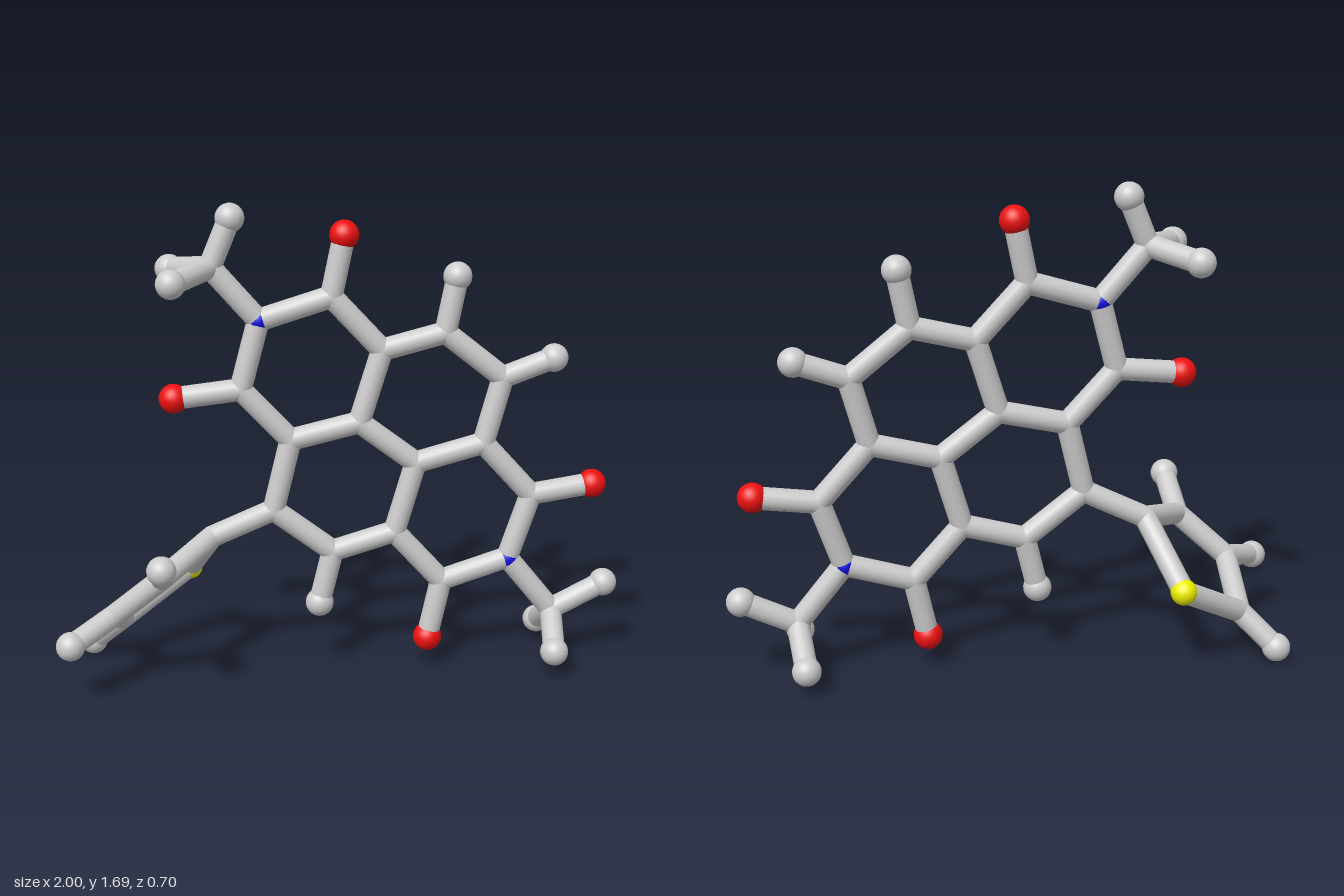
import * as THREE from 'three';

const BOND_R = 0.039;
const materials = {
  grey: new THREE.MeshStandardMaterial({ color: 0xcccccc }),
  red: new THREE.MeshStandardMaterial({ color: 0xee1111 }),
  blue: new THREE.MeshStandardMaterial({ color: 0x1111dd }),
  yellow: new THREE.MeshStandardMaterial({ color: 0xeeee00 }),
};

// Element: name, radius, material
const elements = {
  C: ['carbonJoint', BOND_R, 'grey'],
  H: ['hydrogenBall', 0.05, 'grey'],
  O: ['oxygenBall', 0.051, 'red'],
  N: ['nitrogenJoint', 0.0415, 'blue'],
  S: ['sulfurBall', 0.046, 'yellow'],
};

// The fused rings lie in one slightly tilted plane
const planeZ = (x, y) => -0.043 - 0.028 * x - 0.043 * y;

// Atoms: x, y and, where off the ring plane, z. The first letter is the element.
const atoms = {
  // Fused carbon rings
  Ca: [0.14, 1.175], Cb: [0.36, 1.23], Cc: [0.565, 1.065], Cd: [0.5, 0.83],
  Ce: [0.26, 0.767], Cf: [0.06, 0.92], Cg: [-0.18, 0.865], Ch: [-0.243, 0.612],
  Ci: [-0.035, 0.452], Cj: [0.185, 0.515],
  Hb: [0.4, 1.425], Hc: [0.745, 1.13], Hi: [-0.083, 0.26],
  // Upper imide ring and methyl
  N1: [-0.285, 1.29], Cm: [-0.035, 1.365], Om: [0.01, 1.575],
  Cn: [-0.35, 1.05], On: [-0.58, 1.025], Cq: [-0.445, 1.475],
  Hq1: [-0.375, 1.64], Hq2: [-0.575, 1.455, 0.07], Hq3: [-0.585, 1.44, -0.25],
  // Lower imide ring and methyl
  N2: [0.595, 0.4], Ck: [0.355, 0.325], Ok: [0.307, 0.11],
  Cl: [0.675, 0.635], Ol: [0.895, 0.667], Cr: [0.76, 0.195],
  Hr1: [0.95, 0.29], Hr2: [0.742, 0.085, -0.235], Hr3: [0.745, 0.1, 0.09],
  // Five-sided side ring
  Ct: [-0.46, 0.51, -0.085], Cu: [-0.635, 0.44, 0.125], Cv: [-0.808, 0.285, 0.07],
  Cw: [-0.787, 0.17, -0.18], S1: [-0.545, 0.31, -0.305],
  Hu: [-0.63, 0.54, 0.297], Hv: [-0.95, 0.232, 0.195], Hw: [-0.905, 0.052, -0.248],
};

// Chains of bonded atoms
const chains = {
  ringBond: ['Ca Cb Cc Cd Ce Cf Ca', 'Cf Cg Ch Ci Cj Ce'],
  imideBond: ['Ca Cm N1 Cn Cg', 'Cd Cl N2 Ck Cj'],
  oxygenBond: ['Cm Om', 'Cn On', 'Ck Ok', 'Cl Ol'],
  hydrogenBond: ['Cb Hb', 'Cc Hc', 'Ci Hi', 'Cu Hu', 'Cv Hv', 'Cw Hw'],
  methylBond: ['N1 Cq Hq1', 'Hq2 Cq Hq3', 'N2 Cr Hr1', 'Hr2 Cr Hr3'],
  sideRingBond: ['Ch Ct Cu Cv Cw S1 Ct'],
};

const position = (id) => {
  const [x, y, z = planeZ(x, y)] = atoms[id];
  return new THREE.Vector3(x, y, z);
};

function makeBond(name, from, to) {
  const direction = to.clone().sub(from);
  const geometry = new THREE.CylinderGeometry(BOND_R, BOND_R, direction.length(), 20);
  const bond = new THREE.Mesh(geometry, materials.grey);
  bond.name = name;
  bond.position.copy(from).add(to).multiplyScalar(0.5);
  bond.quaternion.setFromUnitVectors(new THREE.Vector3(0, 1, 0), direction.normalize());
  return bond;
}

export function createModel() {
  const model = new THREE.Group();
  model.name = 'moleculeModel';

  // Balls and joints
  for (const id of Object.keys(atoms)) {
    const [name, radius, color] = elements[id[0]];
    const atom = new THREE.Mesh(new THREE.SphereGeometry(radius, 24, 16), materials[color]);
    atom.name = name;
    atom.position.copy(position(id));
    model.add(atom);
  }

  // Sticks
  for (const [name, list] of Object.entries(chains)) {
    for (const chain of list) {
      const points = chain.split(' ').map(position);
      for (let i = 1; i < points.length; i++) model.add(makeBond(name, points[i - 1], points[i]));
    }
  }
  return model;
}
